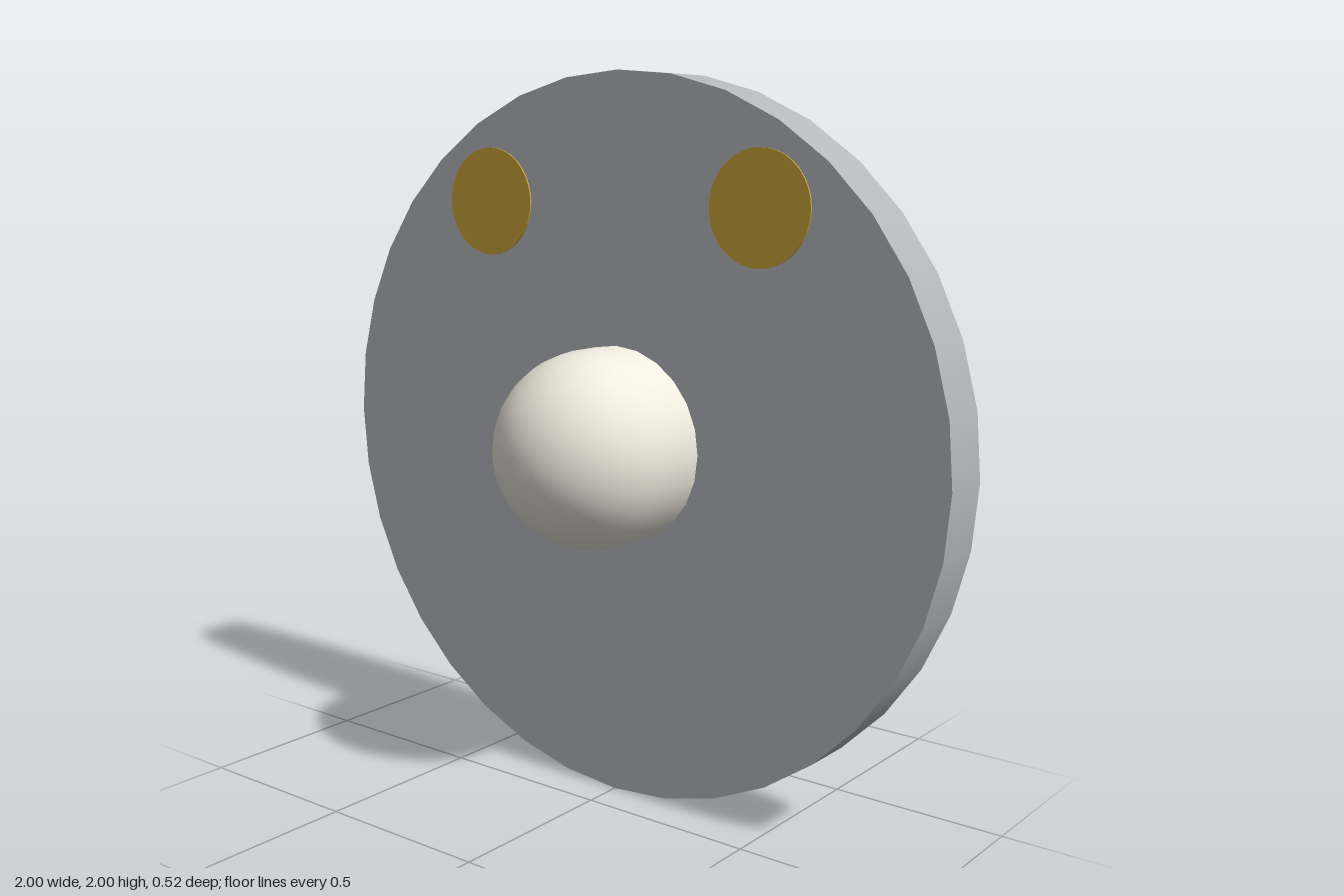
import * as THREE from 'three';

const plateMat = new THREE.MeshStandardMaterial({ color: 0xb4b7bd });
const domeMat = new THREE.MeshStandardMaterial({ color: 0xf0ede0 });
const spotMat = new THREE.MeshStandardMaterial({ color: 0xc9a23a });

// Round disc facing +z, spanning zBack to zFront
function disc(name, radius, zBack, zFront, sides, material, x, y) {
  const geometry = new THREE.CylinderGeometry(radius, radius, zFront - zBack, sides);
  geometry.rotateX(Math.PI / 2);
  const mesh = new THREE.Mesh(geometry, material);
  mesh.name = name;
  mesh.position.set(x, y, (zBack + zFront) / 2);
  return mesh;
}

export function createModel() {
  const model = new THREE.Group();
  model.name = 'plateWithDome';

  // Round back plate
  model.add(disc('plate', 1, -0.26, -0.11, 36, plateMat, 0, 1));

  // Domed centre: short cylindrical neck and a hemisphere
  const radius = 0.272, centreZ = -0.01;
  const dome = new THREE.Group();
  dome.name = 'dome';
  dome.add(disc('domeNeck', radius, -0.13, centreZ, 24, domeMat, 0, 1));
  const capGeometry = new THREE.SphereGeometry(radius, 24, 8, 0, Math.PI * 2, 0, Math.PI / 2);
  capGeometry.rotateX(Math.PI / 2);
  const cap = new THREE.Mesh(capGeometry, domeMat);
  cap.name = 'domeCap';
  cap.position.set(0, 1, centreZ);
  dome.add(cap);
  model.add(dome);

  // Pair of thin coloured spots near the top
  for (const side of [-1, 1]) {
    const name = side > 0 ? 'leftSpot' : 'rightSpot';
    model.add(disc(name, 0.15, -0.12, -0.105, 36, spotMat, side * 0.45, 1.65));
  }
  return model;
}
